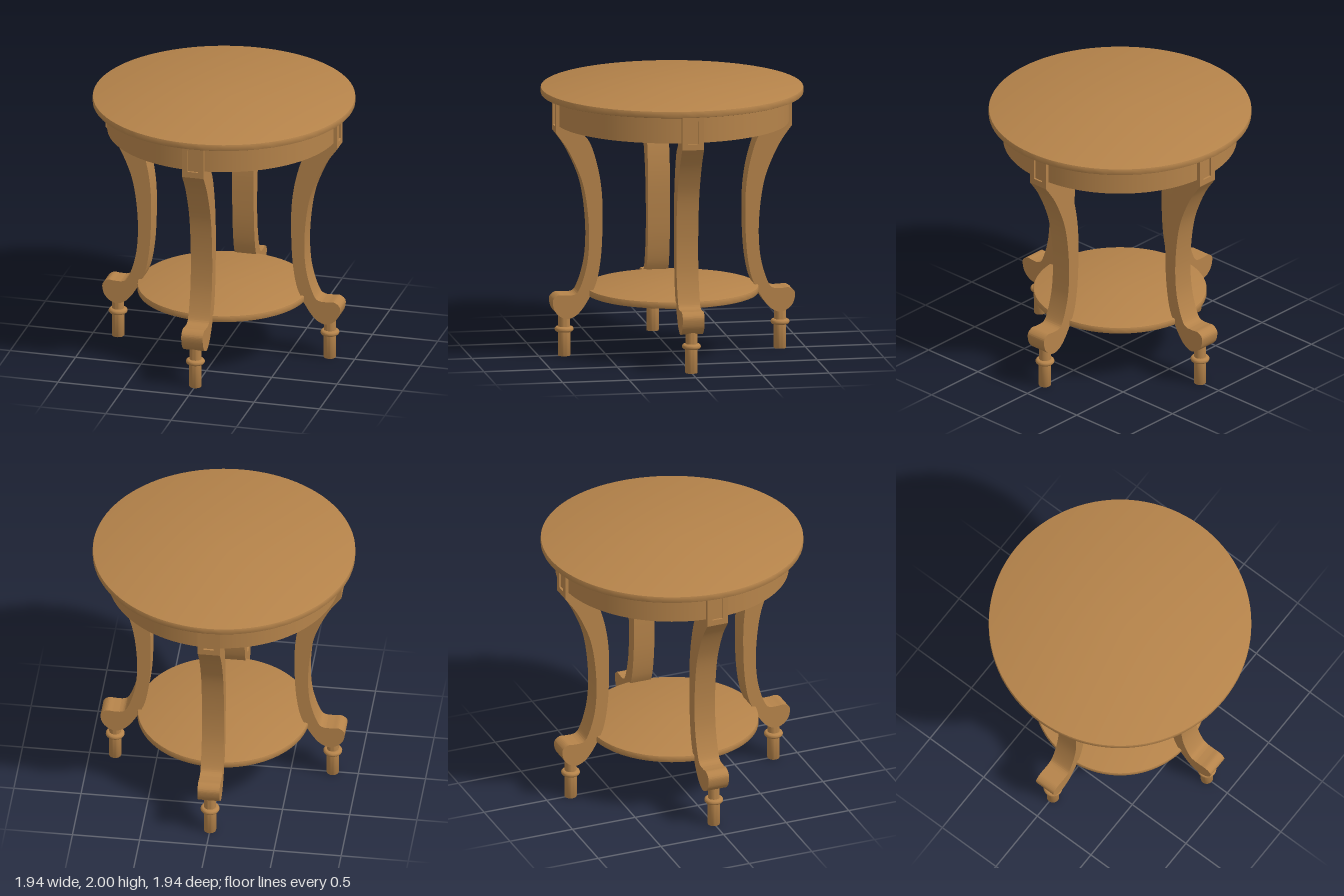
import * as THREE from 'three';
import { toCreasedNormals } from 'three/addons/utils/BufferGeometryUtils.js';

const wood = new THREE.MeshStandardMaterial({ color: 0xb5834a });
wood.name = 'wood';

const v = (list) => list.map(([x, y]) => new THREE.Vector2(x, y));

function part(name, geometry, parent) {
  const mesh = new THREE.Mesh(geometry, wood);
  mesh.name = name;
  parent.add(mesh);
  return mesh;
}

// Turned part; profile runs from bottom to top as [radius, y]
function turned(profile, segments) {
  return toCreasedNormals(new THREE.LatheGeometry(v(profile), segments), 0.6);
}

// Disc with softly eased rims
function disc(radius, y0, y1, ease) {
  return turned([
    [0, y0], [radius - ease, y0], [radius - ease * 0.3, y0 + ease * 0.3], [radius, y0 + ease],
    [radius, y1 - ease], [radius - ease * 0.3, y1 - ease * 0.3], [radius - ease, y1], [0, y1],
  ], 96);
}

// Side outline of the curved leg, [distance from centre, y]
function legGeometry(width) {
  const s = new THREE.Shape();
  s.moveTo(0.70, 1.95);
  s.lineTo(0.87, 1.95);
  s.lineTo(0.87, 1.69);
  s.lineTo(0.885, 1.69);
  // outer sweep down to the ankle
  s.splineThru(v([[0.80, 1.57], [0.73, 1.43], [0.68, 1.29], [0.65, 1.12], [0.636, 0.92],
    [0.645, 0.74], [0.675, 0.6], [0.72, 0.49], [0.765, 0.465]]));
  // scrolled toe
  s.splineThru(v([[0.815, 0.466], [0.865, 0.468], [0.903, 0.44], [0.908, 0.4], [0.89, 0.345],
    [0.845, 0.302], [0.79, 0.288], [0.73, 0.315], [0.68, 0.37], [0.63, 0.45]]));
  // inner sweep back up to the knee
  s.splineThru(v([[0.58, 0.565], [0.55, 0.73], [0.537, 0.93], [0.537, 1.17], [0.558, 1.36],
    [0.60, 1.53], [0.645, 1.635], [0.705, 1.69]]));
  s.lineTo(0.705, 1.74);
  const g = new THREE.ExtrudeGeometry(s, { depth: width, bevelEnabled: false, curveSegments: 50 });
  g.translate(0, 0, -width / 2);
  return toCreasedNormals(g, 0.5);
}

// Thin face with a rectangular opening, leaving a sunken panel on the leg head
function panelFrameGeometry(width) {
  const rect = (path, w, y0, y1) => {
    path.moveTo(-w, y0);
    path.lineTo(w, y0);
    path.lineTo(w, y1);
    path.lineTo(-w, y1);
    path.closePath();
    return path;
  };
  const s = rect(new THREE.Shape(), width / 2, 1.69, 1.95);
  s.holes.push(rect(new THREE.Path(), 0.04, 1.735, 1.905));
  const g = new THREE.ExtrudeGeometry(s, { depth: 0.015, bevelEnabled: false });
  g.rotateY(Math.PI / 2);
  g.translate(0.87, 0, 0);
  return g;
}

export function createModel() {
  const table = new THREE.Group();
  table.name = 'roundTable';

  part('tableTop', disc(0.97, 1.95, 2, 0.006), table);
  part('apron', new THREE.CylinderGeometry(0.863, 0.863, 0.212, 96).translate(0, 1.846, 0), table);
  part('lowerShelf', disc(0.64, 0.448, 0.5, 0.01), table);

  const width = 0.164;
  const legShape = legGeometry(width);
  const frameShape = panelFrameGeometry(width);

  // Round peg foot with a ring collar
  const collar = [];
  for (let i = 0; i <= 10; i++) {
    const a = -Math.PI / 2 + (Math.PI * i) / 10;
    collar.push([0.05 + 0.02 * Math.cos(a), 0.2 + 0.02 * Math.sin(a)]);
  }
  const footShape = turned([[0, 0], [0.044, 0], [0.046, 0.004], [0.046, 0.18], ...collar,
    [0.044, 0.22], [0.044, 0.36], [0, 0.36]], 32);

  // Four legs, one on each axis
  for (let i = 0; i < 4; i++) {
    const leg = new THREE.Group();
    leg.name = 'leg' + (i + 1);
    part('curvedLeg', legShape, leg);
    part('panelFrame', frameShape, leg);
    part('foot', footShape, leg).position.x = 0.81;
    leg.rotation.y = (i * Math.PI) / 2;
    table.add(leg);
  }
  return table;
}
